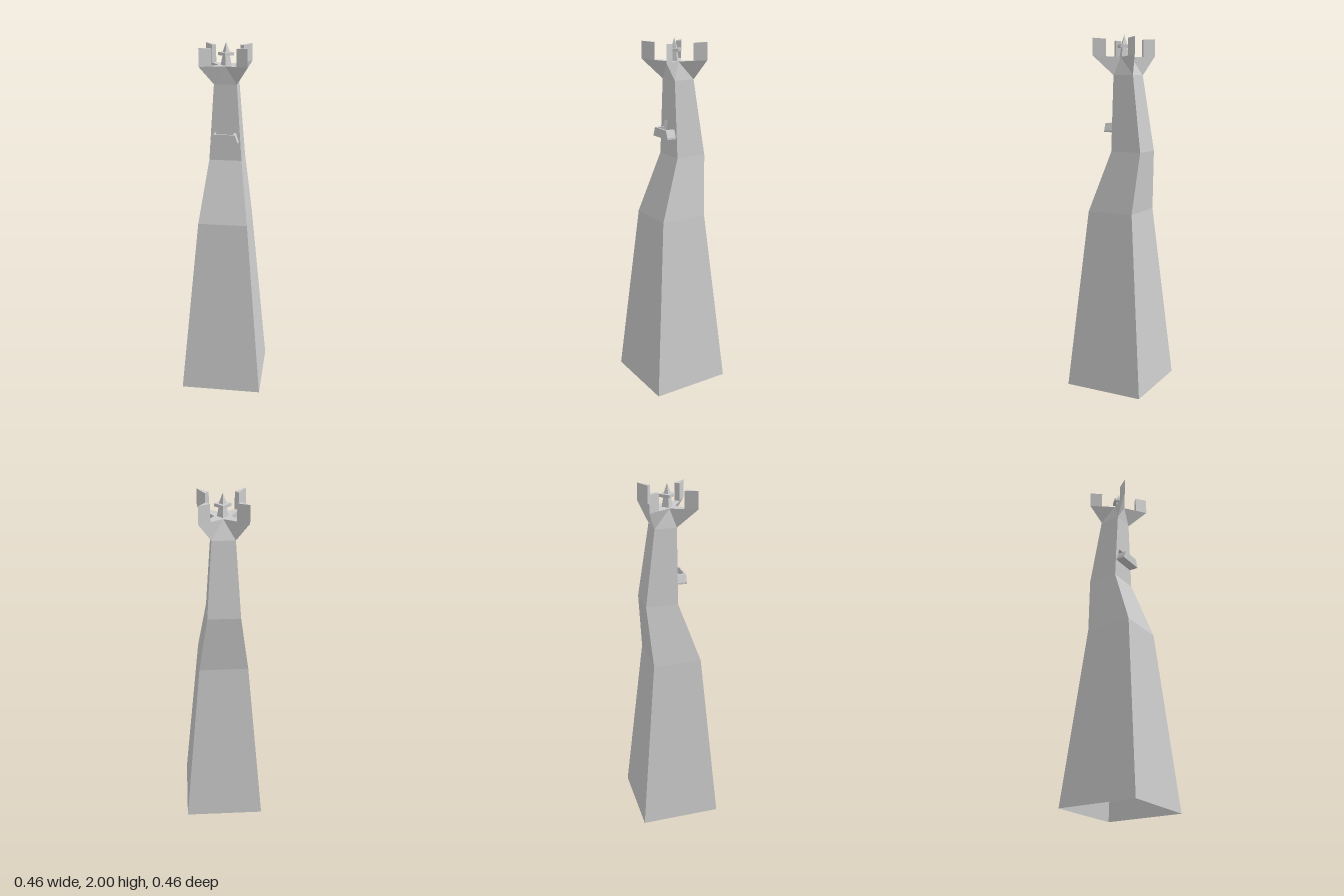
import * as THREE from 'three';

const mat = new THREE.MeshStandardMaterial({ color: 0xcccccc, flatShading: true, side: THREE.DoubleSide });

// Flat-shaded mesh from a list of polygons (each a convex loop of [x, y, z])
function polyMesh(name, polys) {
  const pos = [];
  for (const p of polys)
    for (let i = 1; i < p.length - 1; i++) pos.push(...p[0], ...p[i], ...p[i + 1]);
  const g = new THREE.BufferGeometry();
  g.setAttribute('position', new THREE.Float32BufferAttribute(pos, 3));
  g.computeVertexNormals();
  return named(name, g);
}

function named(name, geometry) {
  const m = new THREE.Mesh(geometry, mat);
  m.name = name;
  return m;
}

// Rectangle ring, counter-clockwise seen from the front-left corner round to the back
const ring = (y, w, front, back) => [[-w, y, front], [w, y, front], [w, y, back], [-w, y, back]];

// Side walls between two rings, optionally leaving some sides out
const walls = (a, b, skip = []) => a
  .map((p, i) => [p, a[(i + 1) % a.length], b[(i + 1) % a.length], b[i]])
  .filter((_, i) => !skip.includes(i));

const FRONT = 0.016, CZ = -0.019;
const DOOR = [[-0.074, 1.47], [0.074, 1.47], [0.044, 1.555], [-0.044, 1.555]];

export function createModel() {
  const model = new THREE.Group();
  model.name = 'tower';

  // Bent tapering shaft, open underneath
  const rings = [
    ring(0, 0.23, 0.23, -0.23),
    ring(1.02, 0.137, 0.137, -0.135),
    ring(1.36, 0.09, FRONT, -0.163),
    ring(1.78, 0.062, FRONT, -0.104),
  ];
  const shaft = [];
  for (let i = 0; i < 3; i++) shaft.push(...walls(rings[i], rings[i + 1], i === 2 ? [0] : []));
  model.add(polyMesh('shaft', shaft));

  // Upper front wall with the doorway cut out
  const vec = (list) => list.map(([x, y]) => new THREE.Vector2(x, y));
  const wall = new THREE.Shape(vec([[-0.09, 1.36], [0.09, 1.36], [0.062, 1.78], [-0.062, 1.78]]));
  wall.holes.push(new THREE.Path(vec(DOOR)));
  const wallMesh = named('upperFrontWall', new THREE.ShapeGeometry(wall));
  wallMesh.position.z = FRONT;
  model.add(wallMesh);

  // Doorway recess
  const outer = DOOR.map(([x, y]) => [x, y, FRONT]);
  const inner = DOOR.map(([x, y]) => [x, y, FRONT - 0.025]);
  model.add(polyMesh('doorway', [...walls(outer, inner), inner]));

  // Balcony: floor, front parapet and two side parapets
  const balcony = new THREE.Group();
  balcony.name = 'balcony';
  const slab = (name, w, h, d, x, y, z) => {
    const m = named(name, new THREE.BoxGeometry(w, h, d));
    m.position.set(x, y, z);
    balcony.add(m);
  };
  slab('balconyFloor', 0.15, 0.01, 0.054, 0, 1.472, 0.043);
  const panel = new THREE.Shape(vec([[-0.075, 1.467], [0.075, 1.467], [0.058, 1.517], [-0.058, 1.517]]));
  const parapet = named('frontParapet', new THREE.ExtrudeGeometry(panel, { depth: 0.01, bevelEnabled: false }));
  parapet.position.z = 0.06;
  balcony.add(parapet);
  for (const s of [-1, 1]) {
    const side = new THREE.Shape(vec([[s * 0.075, 1.467], [s * 0.065, 1.467], [s * 0.048, 1.517], [s * 0.058, 1.517]]));
    const m = named('sideParapet', new THREE.ExtrudeGeometry(side, { depth: 0.046, bevelEnabled: false }));
    m.position.z = FRONT;
    balcony.add(m);
  }
  model.add(balcony);

  // Crown: square shaft top flaring into a four-pointed star
  const base = rings[3], N = 0.043, TIP = 0.128;
  const tips = [[-1, 1], [1, 1], [1, -1], [-1, -1]].map(([x, z]) => [x * TIP, 1.885, CZ + z * TIP]);
  const notches = [[0, 1], [1, 0], [0, -1], [-1, 0]].map(([x, z]) => [x * N, 1.878, CZ + z * N]);
  const crown = [notches];
  for (let i = 0; i < 4; i++) {
    const j = (i + 1) % 4, h = (i + 3) % 4;
    crown.push([base[i], base[j], notches[i]]);
    crown.push([base[i], notches[i], tips[i]], [base[j], tips[j], notches[i]]);
    crown.push([notches[h], tips[i], notches[i]]);
  }
  model.add(polyMesh('crown', crown));

  // Wedge-shaped prong standing on each star point
  const mix = (a, b, t) => a.map((v, k) => v + (b[k] - v) * t);
  for (let i = 0; i < 4; i++) {
    const low = [mix(notches[(i + 3) % 4], tips[i], 0.52), tips[i], mix(notches[i], tips[i], 0.52)].reverse();
    const high = low.map(([x, , z], k) => [x, k === 1 ? 1.98 : 1.975, z]);
    model.add(polyMesh('prong', [...walls(low, high).map((q) => q.reverse()), [...high].reverse()].map((q) => q.reverse())));
  }

  // Central spire: diamond post, plate and point
  const spire = new THREE.Group();
  spire.name = 'spire';
  const post = (name, top, bottom, y0, y1) => {
    const m = named(name, new THREE.CylinderGeometry(top, bottom, y1 - y0, 4));
    m.position.set(0, (y0 + y1) / 2, CZ);
    spire.add(m);
  };
  post('spirePost', 0.02, 0.03, 1.876, 1.93);
  post('spirePlate', 0.043, 0.043, 1.93, 1.946);
  post('spirePoint', 0, 0.02, 1.946, 2);
  model.add(spire);

  return model;
}
